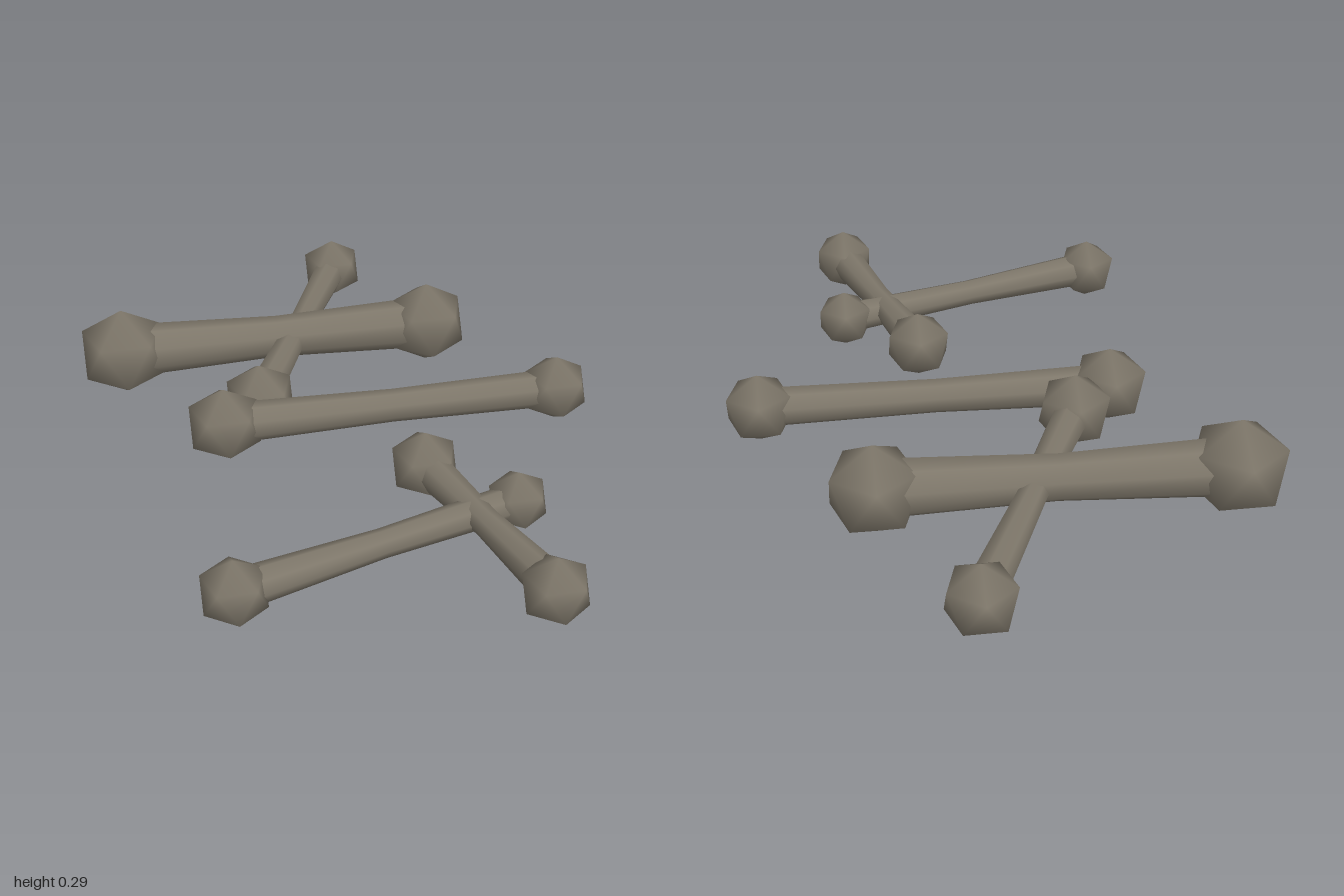
import * as THREE from 'three';

const boneMaterial = new THREE.MeshStandardMaterial({ color: 0x7e776a });
boneMaterial.name = 'old bone';

// Unit twenty-sided knob with its poles on y, smooth shaded
function knobGeometry() {
  const pos = [0, 1, 0];
  const ring = (start, y) => {
    for (let i = 0; i < 5; i++) {
      const a = start + (i * Math.PI * 2) / 5;
      pos.push(0.8944 * Math.cos(a), y, -0.8944 * Math.sin(a));
    }
  };
  ring(0, 0.4472);
  ring(Math.PI / 5, -0.4472);
  pos.push(0, -1, 0);
  const index = [];
  for (let i = 0; i < 5; i++) {
    const j = (i + 1) % 5;
    const u0 = 1 + i, u1 = 1 + j, l0 = 6 + i, l1 = 6 + j;
    index.push(0, u0, u1, u0, l0, u1, l0, l1, u1, 11, l1, l0);
  }
  const g = new THREE.BufferGeometry();
  g.setAttribute('position', new THREE.Float32BufferAttribute(pos, 3));
  g.setAttribute('normal', new THREE.Float32BufferAttribute(pos, 3));
  g.setIndex(index);
  return g;
}

// One bone: a knob at each end and a shaft that narrows at the waist
// ends: [x, y, z, knob radius]; radii: shaft at first end, waist, second end
function makeBone(name, knob, endA, endB, radii) {
  const bone = new THREE.Group();
  bone.name = name;
  const [a, b] = [endA, endB].map(([x, y, z, r], i) => {
    const mesh = new THREE.Mesh(knob, boneMaterial);
    mesh.name = i ? 'secondKnob' : 'firstKnob';
    mesh.position.set(x, y, z);
    mesh.scale.setScalar(r);
    bone.add(mesh);
    return mesh.position;
  });
  const dir = b.clone().sub(a);
  const len = dir.length();
  const profile = radii.map((r, i) => new THREE.Vector2(r, (len * i) / 2));
  const shaft = new THREE.Mesh(new THREE.LatheGeometry(profile, 8), boneMaterial);
  shaft.name = 'shaft';
  shaft.position.copy(a);
  shaft.quaternion.setFromUnitVectors(new THREE.Vector3(0, 1, 0), dir.normalize());
  bone.add(shaft);
  return bone;
}

export function createModel() {
  const model = new THREE.Group();
  model.name = 'bonePile';
  const knob = knobGeometry();
  const bones = [
    ['thickBone', [-0.43, 0.149, -0.725, 0.147], [0.5, 0.153, -0.4, 0.138], [0.085, 0.066, 0.083]],
    ['rearBone', [0.433, 0.139, -0.911, 0.104], [-0.175, 0.14, -0.272, 0.114], [0.055, 0.042, 0.056]],
    ['middleBone', [-0.333, 0.141, -0.195, 0.119], [0.636, 0.142, 0.13, 0.107], [0.062, 0.05, 0.058]],
    ['frontCrossBone', [-0.648, 0.13, 0.503, 0.099], [0.21, 0.128, 0.538, 0.091], [0.056, 0.041, 0.05]],
    ['frontShortBone', [0.073, 0.137, 0.272, 0.105], [0.064, 0.136, 0.914, 0.1], [0.057, 0.041, 0.057]],
  ];
  for (const [name, endA, endB, radii] of bones) {
    model.add(makeBone(name, knob, endA, endB, radii));
  }
  return model;
}
